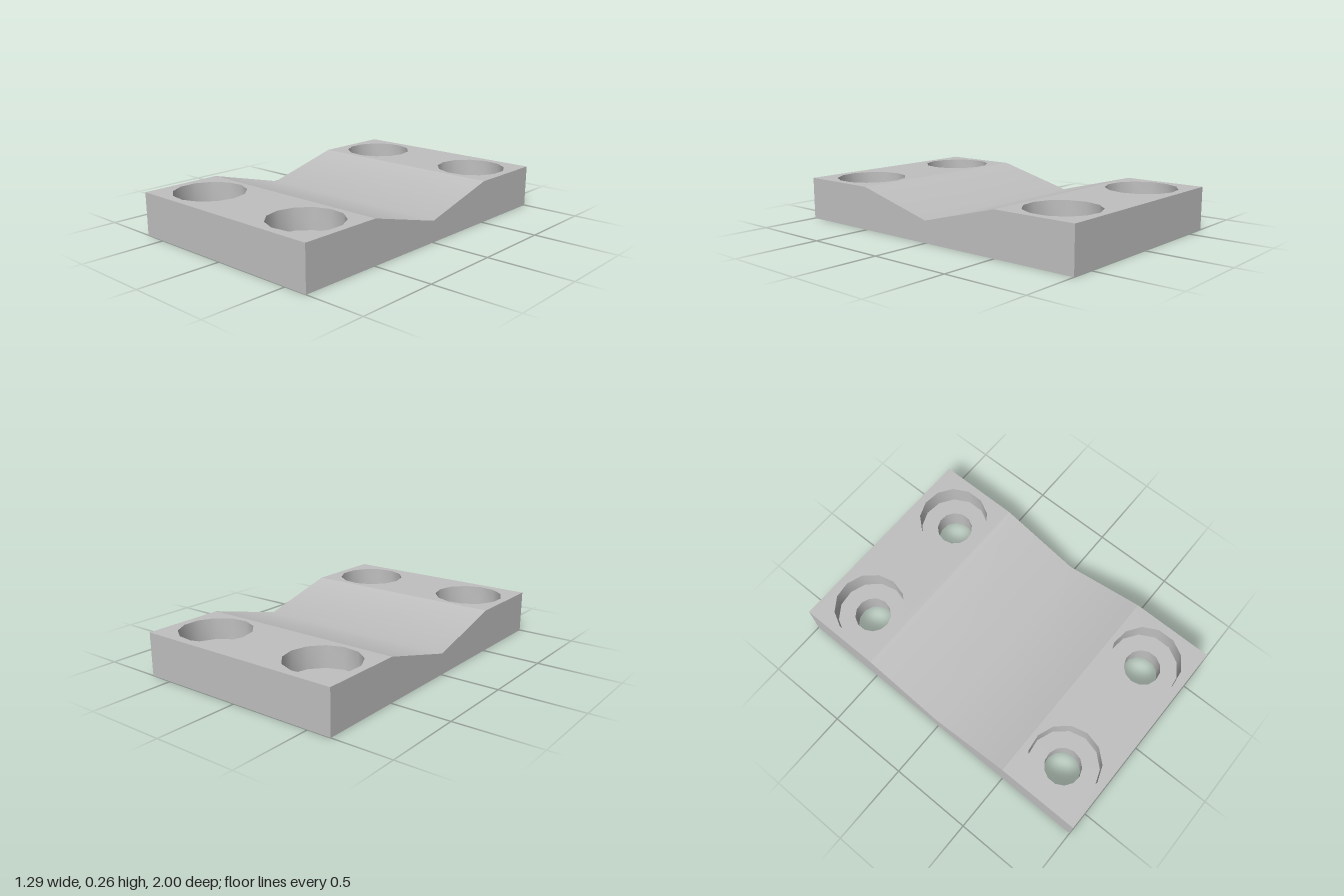
import * as THREE from 'three';
import { toCreasedNormals } from 'three/addons/utils/BufferGeometryUtils.js';

const HALF_W = 0.643, HEIGHT = 0.258, VALLEY = 0.128;
const HOLE_X = 0.387, HOLE_Z = 0.742;
const HOLE_R = 0.11, BORE_R = 0.212, BORE_FLOOR = 0.129, SIDES = 13;

// Start angle that points one polygon corner at the middle of the plate
const startAngle = (sx) => -sx * Math.PI / 2;

// Flat horizontal panel between z0 and z1 with round holes at the given corners
function panel(z0, z1, corners, radius) {
  const shape = new THREE.Shape([
    new THREE.Vector2(-HALF_W, -z1), new THREE.Vector2(HALF_W, -z1),
    new THREE.Vector2(HALF_W, -z0), new THREE.Vector2(-HALF_W, -z0),
  ]);
  for (const [sx, sz] of corners) {
    const points = [];
    for (let i = 0; i < SIDES; i++) {
      const a = startAngle(sx) + (i / SIDES) * Math.PI * 2;
      points.push(new THREE.Vector2(sx * HOLE_X + radius * Math.sin(a), -(sz * HOLE_Z + radius * Math.cos(a))));
    }
    shape.holes.push(new THREE.Path(points));
  }
  return new THREE.ShapeGeometry(shape).rotateX(-Math.PI / 2);
}

// V-shaped trough, shaded softly across its lowest line
function valleyGeometry() {
  const geometry = new THREE.PlaneGeometry(HALF_W * 2, 1, 1, 2).rotateX(-Math.PI / 2);
  const position = geometry.attributes.position;
  const drop = HEIGHT - VALLEY;
  for (let i = 0; i < position.count; i++) {
    const z = position.getZ(i);
    const middle = Math.abs(z) < 0.01;
    position.setY(i, middle ? VALLEY : HEIGHT);
    const n = new THREE.Vector3(0, 0.5, middle ? 0 : -Math.sign(z) * drop).normalize();
    geometry.attributes.normal.setXYZ(i, n.x, n.y, n.z);
  }
  return geometry;
}

export function createModel() {
  const model = new THREE.Group();
  model.name = 'mountingPlate';
  const metal = new THREE.MeshStandardMaterial({ color: 0xc0c0c0 });
  metal.name = 'lightGrey';
  const add = (name, geometry, x = 0, y = 0, z = 0) => {
    const mesh = new THREE.Mesh(geometry, metal);
    mesh.name = name;
    mesh.position.set(x, y, z);
    model.add(mesh);
    return mesh;
  };

  const corners = [[-1, -1], [1, -1], [-1, 1], [1, 1]];

  // Raised pads at both ends and the trough between them
  add('frontPad', panel(0.5, 1, corners.filter((c) => c[1] > 0), BORE_R), 0, HEIGHT, 0);
  add('backPad', panel(-1, -0.5, corners.filter((c) => c[1] < 0), BORE_R), 0, HEIGHT, 0);
  add('valley', valleyGeometry());

  // Underside: same panel turned over, symmetric holes still line up
  const underside = panel(-1, 1, corners, HOLE_R);
  const index = underside.index.array;
  for (let i = 0; i < index.length; i += 3) [index[i], index[i + 1]] = [index[i + 1], index[i]];
  underside.computeVertexNormals();
  add('underside', underside);

  // Long sides follow the trough profile
  const profile = new THREE.Shape([
    [-1, 0], [1, 0], [1, HEIGHT], [0.5, HEIGHT], [0, VALLEY], [-0.5, HEIGHT], [-1, HEIGHT],
  ].map(([u, y]) => new THREE.Vector2(u, y)));
  for (const [name, s] of [['leftSide', 1], ['rightSide', -1]]) {
    add(name, new THREE.ShapeGeometry(profile).rotateY(s * Math.PI / 2), s * HALF_W);
  }

  // Short end faces
  for (const [name, s] of [['frontEnd', 1], ['backEnd', -1]]) {
    const end = new THREE.PlaneGeometry(HALF_W * 2, HEIGHT).rotateY(s > 0 ? 0 : Math.PI);
    add(name, end, 0, HEIGHT / 2, s);
  }

  // Counterbored screw holes, profile run from the top rim down
  const boreProfile = [
    [BORE_R, HEIGHT], [BORE_R, BORE_FLOOR], [HOLE_R, BORE_FLOOR], [HOLE_R, 0],
  ].map(([r, y]) => new THREE.Vector2(r, y));
  for (const [sx, sz] of corners) {
    const bore = new THREE.LatheGeometry(boreProfile, SIDES, startAngle(sx));
    const name = (sz > 0 ? 'front' : 'back') + (sx > 0 ? 'Left' : 'Right') + 'ScrewHole';
    add(name, toCreasedNormals(bore, 0.5), sx * HOLE_X, 0, sz * HOLE_Z);
  }
  return model;
}
